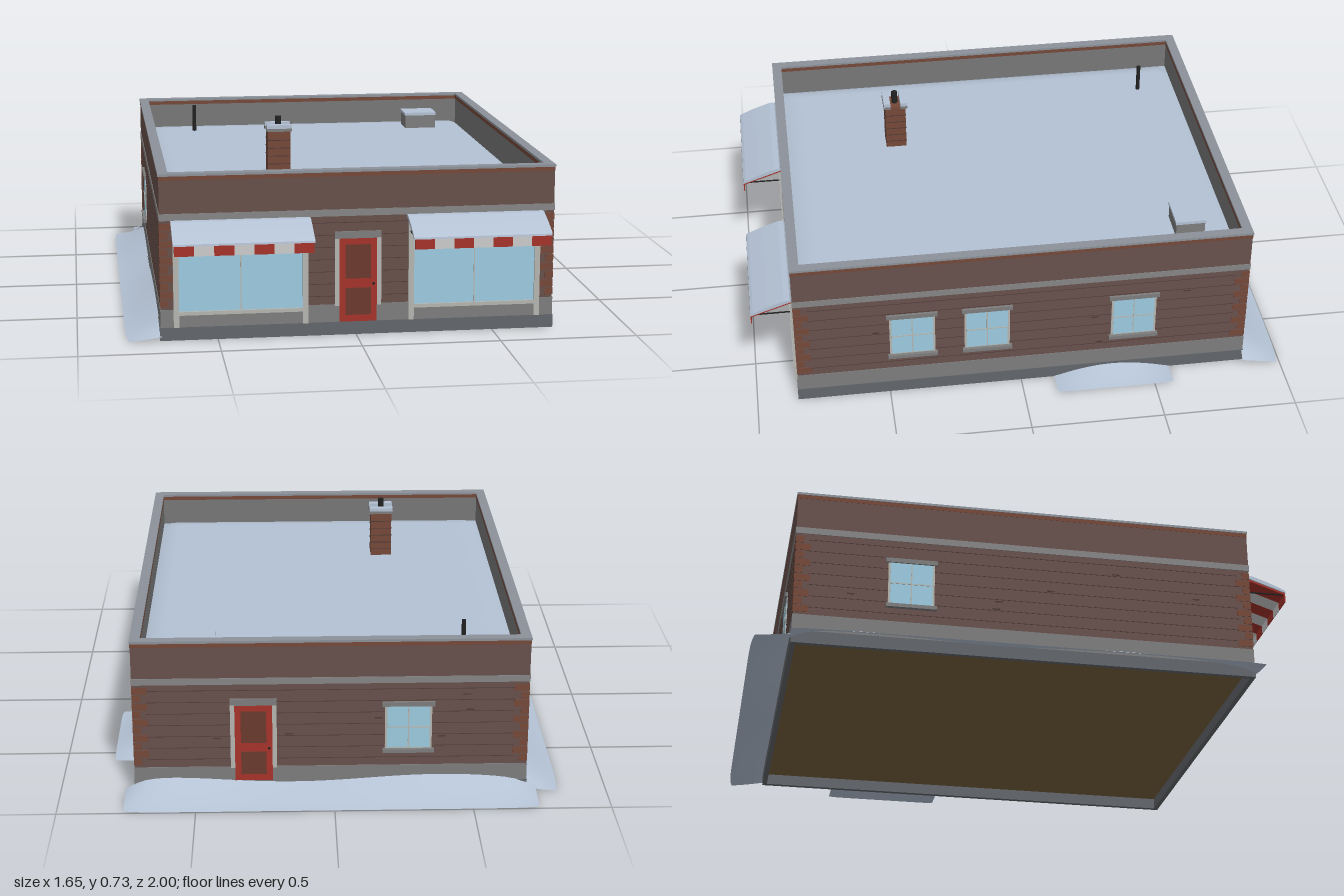
import * as THREE from 'three';

const C = {
  brick: 0x68504b, quoin: 0x744839, joint: 0x4d3a36, stone: 0x7d7d7d, base: 0x62656a, band: 0x858585,
  snow: 0xb4c2d4, glass: 0x9ccbe0, frame: 0xb5b5b0, red: 0xa5332a, panel: 0x6b3a2e, white: 0xd0d0cc,
  floor: 0x78603c, dark: 0x222222, inner: 0x777777, coping: 0x8c929a,
};
const X0 = -0.705, X1 = 0.725, Z0 = -0.86, Z1 = 0.845;
const CX = (X0 + X1) / 2, CZ = (Z0 + Z1) / 2;
const mats = {};
const mat = (color) => (mats[color] ??= new THREE.MeshStandardMaterial({ color, side: THREE.DoubleSide }));

function add(parent, name, geometry, color) {
  const mesh = new THREE.Mesh(geometry, mat(color));
  mesh.name = name;
  parent.add(mesh);
  return mesh;
}

// Box given by its lower and upper limits on each axis
function box(parent, name, color, x0, x1, y0, y1, z0, z1) {
  const g = new THREE.BoxGeometry(x1 - x0, y1 - y0, z1 - z0);
  g.translate((x0 + x1) / 2, (y0 + y1) / 2, (z0 + z1) / 2);
  return add(parent, name, g, color);
}

function group(parent, name) {
  const g = new THREE.Group();
  g.name = name;
  parent.add(g);
  return g;
}

// Side profile in (z, y) extruded along x
function profileX(points, x0, x1) {
  const shape = new THREE.Shape(points.map(([z, y]) => new THREE.Vector2(z, y)));
  const g = new THREE.ExtrudeGeometry(shape, { depth: x1 - x0, bevelEnabled: false });
  return g.rotateY(-Math.PI / 2).translate(x1, 0, 0);
}

// Sash window on a wall, facing local +z
function sashWindow(wall, x) {
  const w = group(wall, 'sashWindow');
  w.position.x = x;
  box(w, 'windowFrame', C.frame, -0.085, 0.085, 0.18, 0.355, -0.005, 0.003);
  box(w, 'windowGlass', C.glass, -0.077, 0.077, 0.186, 0.35, 0, 0.004);
  box(w, 'middleRail', C.frame, -0.077, 0.077, 0.265, 0.269, 0, 0.006);
  box(w, 'mullion', C.frame, -0.002, 0.002, 0.186, 0.35, 0, 0.005);
  box(w, 'lintel', C.stone, -0.095, 0.095, 0.35, 0.367, 0, 0.01);
  box(w, 'sill', C.stone, -0.093, 0.093, 0.168, 0.182, 0, 0.015);
}

// Panelled door with stone surround
function door(wall, x, y0) {
  const d = group(wall, 'door');
  d.position.x = x;
  box(d, 'doorLeaf', C.red, -0.068, 0.068, y0, 0.358, -0.005, 0.004);
  box(d, 'upperPanel', C.panel, -0.046, 0.046, 0.21, 0.335, 0, 0.006);
  box(d, 'lowerPanel', C.panel, -0.046, 0.046, y0 + 0.025, 0.175, 0, 0.006);
  for (const s of [-1, 1]) {
    const c = s * 0.076;
    box(d, 'jamb', C.frame, c - 0.008, c + 0.008, Math.max(y0, 0.11), 0.36, 0, 0.006);
  }
  box(d, 'doorLintel', C.stone, -0.084, 0.084, 0.358, 0.384, 0, 0.006);
  add(d, 'doorKnob', new THREE.SphereGeometry(0.005, 10, 8), C.dark).position.set(0.056, 0.19, 0.008);
}

// Shop window with posts and a striped, snow-covered awning
function shopFront(wall, x) {
  const s = group(wall, 'shopFront');
  s.position.x = x;
  box(s, 'shopGlass', C.glass, -0.225, 0.225, 0.105, 0.42, -0.005, 0.003);
  box(s, 'shopMullion', C.frame, -0.002, 0.002, 0.105, 0.42, 0, 0.005);
  for (const p of [-0.232, 0.232]) box(s, 'shopPost', C.frame, p - 0.01, p + 0.01, 0.05, 0.43, 0, 0.01);
  box(s, 'shopSill', C.frame, -0.225, 0.225, 0.095, 0.108, 0, 0.012);
  box(s, 'shopApron', C.stone, -0.225, 0.225, 0.05, 0.095, 0, 0.004);
  const awning = group(s, 'awning');
  const cloth = [[0, 0.434], [0.155, 0.382], [0.155, 0.346], [0.151, 0.346], [0.151, 0.376], [0, 0.427]];
  const w = 0.49 / 7;
  for (let i = 0; i < 7; i++) {
    const a = -0.245 + i * w;
    add(awning, 'awningStripe', profileX(cloth, a, a + w), i % 2 ? C.white : C.red);
  }
  const snow = [[0.003, 0.434], [0.008, 0.442], [0.03, 0.44], [0.09, 0.419], [0.145, 0.396], [0.155, 0.389], [0.156, 0.382]];
  add(awning, 'awningSnow', profileX(snow, -0.249, 0.249), C.snow);
  for (const e of [-0.235, 0.235]) box(awning, 'awningArm', C.dark, e - 0.002, e + 0.002, 0.377, 0.381, 0, 0.153);
}

// Sloping snow drift against a wall, falling to the ground along local +z
function drift(wall, name, length, reach, height) {
  const g = new THREE.PlaneGeometry(length, reach, 40, 8).rotateX(-Math.PI / 2);
  const p = g.attributes.position;
  for (let i = 0; i < p.count; i++) {
    const u = THREE.MathUtils.clamp(p.getX(i) / length + 0.5, 0, 1);
    const v = THREE.MathUtils.clamp(p.getZ(i) / reach + 0.5, 0, 1);
    const end = Math.pow(Math.abs(2 * u - 1), 14);
    p.setY(i, 0.004 + height(u) * (1 - 0.7 * end) * Math.pow(1 - v, 1.2));
    p.setZ(i, v * (1 - 0.08 * end) * reach - 0.003);
  }
  g.computeVertexNormals();
  return add(wall, name, g, C.snow);
}

export function createModel() {
  const model = new THREE.Group();
  model.name = 'cornerShop';

  // Raised floor and brick storey
  box(model, 'floor', C.floor, X0 + 0.015, X1 - 0.015, 0.045, 0.055, Z0 + 0.015, Z1 - 0.015);
  box(model, 'brickStorey', C.brick, X0 + 0.002, X1 - 0.002, 0.115, 0.44, Z0 + 0.002, Z1 - 0.002);

  // Rings of four boxes around the building: plinth, bands, parapet and coping
  const ring = (name, color, y0, y1, o, t) => {
    const r = group(model, name), a = X0 - o, b = X1 + o, c = Z0 - o, d = Z1 + o;
    box(r, name + 'Front', color, a, b, y0, y1, d - t, d);
    box(r, name + 'Back', color, a, b, y0, y1, c, c + t);
    box(r, name + 'Left', color, b - t, b, y0, y1, c + t, d - t);
    box(r, name + 'Right', color, a, a + t, y0, y1, c + t, d - t);
  };
  ring('lowerBase', C.base, 0.002, 0.05, 0.002, 0.018);
  ring('plinth', C.stone, 0.05, 0.115, 0, 0.018);
  ring('stoneBand', C.band, 0.44, 0.465, 0.001, 0.03);
  ring('parapet', C.brick, 0.465, 0.585, -0.001, 0.026);
  ring('parapetLining', C.inner, 0.42, 0.585, -0.027, 0.006);
  ring('copingCourse', C.quoin, 0.585, 0.6, 0, 0.035);
  ring('coping', C.coping, 0.6, 0.609, 0.002, 0.037);

  // Snow blanket on the roof with a softly rounded rim
  const rw = X1 - X0 - 0.066, rd = Z1 - Z0 - 0.066;
  const roof = new THREE.PlaneGeometry(rw, rd, 40, 40).rotateX(-Math.PI / 2);
  const rp = roof.attributes.position;
  for (let i = 0; i < rp.count; i++) {
    const e = Math.min(rw / 2 - Math.abs(rp.getX(i)), rd / 2 - Math.abs(rp.getZ(i)));
    const k = 1 - Math.min(e / 0.05, 1);
    rp.setY(i, 0.495 - 0.018 * k * k);
  }
  roof.computeVertexNormals();
  add(model, 'roofSnow', roof, C.snow).position.set(CX, 0, CZ);

  // Chimney
  const chimney = group(model, 'chimney');
  chimney.position.set(-0.23, 0, 0.375);
  box(chimney, 'chimneyStack', C.quoin, -0.042, 0.042, 0.47, 0.68, -0.04, 0.04);
  for (let y = 0.52; y < 0.67; y += 0.03) box(chimney, 'chimneyJoint', C.joint, -0.043, 0.043, y, y + 0.003, -0.041, 0.041);
  for (const z of [-0.033, 0.033]) {
    box(chimney, 'chimneyCap', C.stone, -0.048, 0.048, 0.675, 0.686, z - 0.014, z + 0.014);
    box(chimney, 'chimneySnow', C.snow, -0.047, 0.047, 0.686, 0.7, z - 0.013, z + 0.013);
  }
  add(chimney, 'chimneyPipe', new THREE.CylinderGeometry(0.012, 0.012, 0.05, 12), C.dark).position.y = 0.703;

  // Roof vent pipe and equipment box
  add(model, 'ventPipe', new THREE.CylinderGeometry(0.008, 0.008, 0.12, 10), C.dark).position.set(-0.48, 0.545, -0.67);
  box(model, 'roofUnit', C.stone, 0.43, 0.56, 0.48, 0.55, -0.72, -0.61);
  box(model, 'roofUnitSnow', C.snow, 0.427, 0.563, 0.55, 0.562, -0.723, -0.607);

  // Four wall frames, each with local +z pointing outwards
  let seed = 7;
  const rand = () => (seed = (seed * 16807) % 2147483647) / 2147483647;
  const hx = (X1 - X0) / 2, hz = (Z1 - Z0) / 2;
  const [front, left, back, right] = ['frontWall', 'leftWall', 'backWall', 'rightWall'].map((name, i) => {
    const w = group(model, name), half = i % 2 ? hz : hx, out = (i % 2 ? hx : hz) - 0.002;
    w.rotation.y = i * Math.PI / 2;
    w.position.set(CX + Math.sin(w.rotation.y) * out, 0, CZ + Math.cos(w.rotation.y) * out);
    for (let y = 0.145; y < 0.44; y += 0.045) box(w, 'brickCourse', C.joint, -half + 0.05, half - 0.05, y, y + 0.002, 0, 0.001);
    for (let k = 0; k < 6; k++) {
      const x = (rand() * 2 - 1) * (half - 0.12), y = 0.15 + Math.floor(rand() * 18) * 0.015;
      box(w, 'looseBrick', C.joint, x - 0.014, x + 0.014, y, y + 0.005, 0, 0.001);
    }
    return w;
  });

  // Corner bricks in alternating lengths
  for (const [x, sx] of [[X0, 1], [X1, -1]]) for (const [z, sz] of [[Z0, 1], [Z1, -1]]) {
    for (let i = 0; i < 10; i++) {
      const a = i % 2 ? 0.055 : 0.03, b = i % 2 ? 0.03 : 0.055, y = 0.125 + i * 0.031;
      const q = add(model, 'cornerBrick', new THREE.BoxGeometry(a, 0.026, b), C.quoin);
      q.position.set(x + sx * a / 2, y + 0.013, z + sz * b / 2);
    }
  }

  // Openings
  for (const x of [-0.416, 0.432]) shopFront(front, x - CX);
  door(front, 0.007 - CX, 0.05);
  for (const z of [0.41, 0.13, -0.425]) sashWindow(left, CZ - z);
  sashWindow(right, -0.435 - CZ);
  sashWindow(back, CX + 0.27);
  door(back, CX - 0.29, 0.06);

  // Snow drifts on the ground
  drift(back, 'backDrift', 1.5, 0.145, (u) => 0.062 + 0.012 * Math.sin(u * 9 + 1));
  drift(right, 'rightDrift', 1.72, 0.128, (u) => 0.055 + 0.008 * Math.sin(u * 11));
  drift(left, 'leftDrift', 0.445, 0.103, (u) => 0.04 * Math.sin(u * Math.PI)).position.x = CZ + 0.35;
  return model;
}
